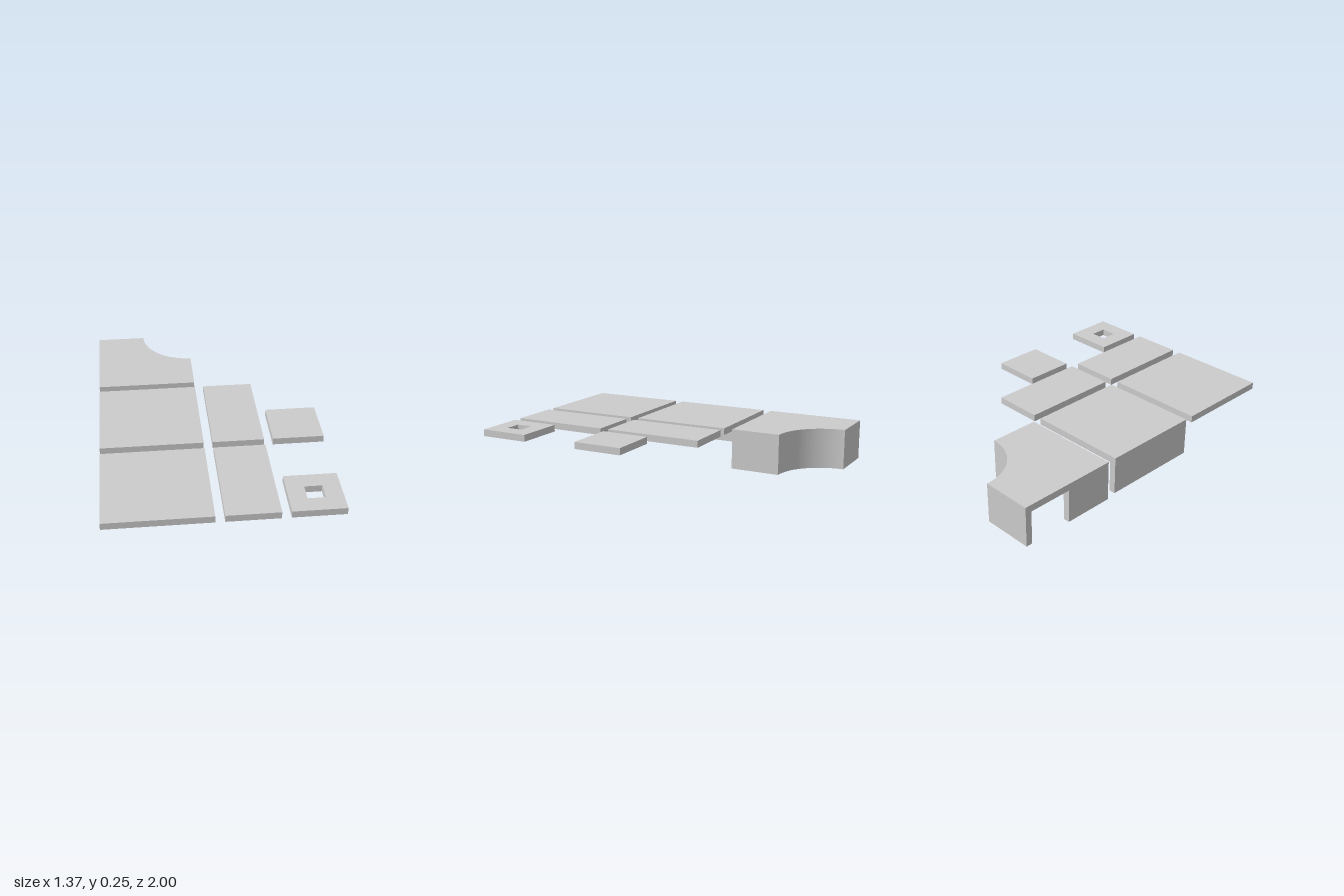
import * as THREE from 'three';
import { toCreasedNormals } from 'three/addons/utils/BufferGeometryUtils.js';

const TOP = 0.255, UNDER = 0.212; // slab top and underside
const WALL = 0.04;                // wall thickness
const HALF = Math.PI / 2;

export function createModel() {
  const model = new THREE.Group();
  const material = new THREE.MeshStandardMaterial({ color: 0xcccccc });

  const addMesh = (name, geometry) => {
    const mesh = new THREE.Mesh(geometry, material);
    mesh.name = name;
    model.add(mesh);
    return mesh;
  };

  // Axis-aligned block given by its x, z and y ranges
  const block = (name, x0, x1, z0, z1, y0 = UNDER, y1 = TOP) => {
    const mesh = addMesh(name, new THREE.BoxGeometry(x1 - x0, y1 - y0, z1 - z0));
    mesh.position.set((x0 + x1) / 2, (y0 + y1) / 2, (z0 + z1) / 2);
  };

  // Plan outline drawn in (x, z), extruded between two heights
  const plan = (name, shape, y0 = UNDER, y1 = TOP) => {
    const geometry = new THREE.ExtrudeGeometry(shape, { depth: y1 - y0, bevelEnabled: false, curveSegments: 32 });
    geometry.rotateX(HALF).translate(0, y1, 0);
    addMesh(name, toCreasedNormals(geometry, 0.5));
  };
  const outline = (points) => new THREE.Shape(points.map(([x, z]) => new THREE.Vector2(x, z)));

  const L = -0.685, R = -0.055; // sides of the large tiles

  // Corner tile: two strips and a panel with a concave quarter-round
  block('cornerFrontStrip', L, R, -0.53, -0.37);
  block('cornerSideStrip', L, -0.53, -1, -0.53);
  const notched = new THREE.Shape();
  notched.moveTo(-0.53, -1);
  notched.lineTo(-0.53, -0.53);
  notched.lineTo(R, -0.53);
  notched.lineTo(R, -0.685);
  notched.absarc(R, -1, 0.315, HALF, Math.PI, false);
  plan('cornerNotchedPanel', notched);

  // Walls under the corner tile: one runs along the back, round the notch and along the side
  const wall = new THREE.Shape();
  wall.moveTo(L, -1);
  wall.lineTo(L, -1 + WALL);
  const outer = 0.315 + WALL;
  const skew = Math.asin(WALL / outer);
  wall.absarc(R, -1, outer, Math.PI - skew, HALF + skew, true);
  wall.lineTo(R - WALL, -0.37);
  wall.lineTo(R, -0.37);
  wall.lineTo(R, -0.685);
  wall.absarc(R, -1, 0.315, HALF, Math.PI, false);
  plan('cornerCurvedWall', wall, 0, UNDER);
  block('cornerSideWall', L, L + WALL, -0.685, -0.37, 0, UNDER);

  // Middle tile with its side wall
  block('middleWidePanel', L, -0.265, -0.315, 0.315);
  block('middleBackPanel', -0.265, R, -0.315, 0);
  block('middleFrontPanel', -0.265, R, 0, 0.315);
  block('middleSideWall', L, L + WALL, -0.315, 0.315, 0.015, UNDER);

  // Front tile split by a kinked seam
  const seam = [[-0.16, 0.37], [-0.16, 0.58], [-0.265, 0.79], [-0.265, 1]];
  plan('frontWidePanel', outline([[L, 0.37], ...seam, [L, 1]]));
  plan('frontNarrowPanel', outline([[R, 0.37], ...seam, [R, 1]]));

  // Narrow tiles, one split across and one split lengthwise
  block('narrowBackPanel', 0, 0.315, -0.315, 0);
  block('narrowMiddlePanel', 0, 0.315, 0, 0.315);
  block('narrowFrontPanelRight', 0, 0.157, 0.37, 1);
  block('narrowFrontPanelLeft', 0.157, 0.315, 0.37, 1);

  // Small square tiles, plain and with a square hole
  block('smallTile', 0.37, 0.685, 0, 0.315);
  const square = outline([[0.37, 0.685], [0.685, 0.685], [0.685, 1], [0.37, 1]]);
  square.holes.push(outline([[0.475, 0.79], [0.475, 0.895], [0.58, 0.895], [0.58, 0.79]]));
  plan('smallTileWithHole', square);

  return model;
}
